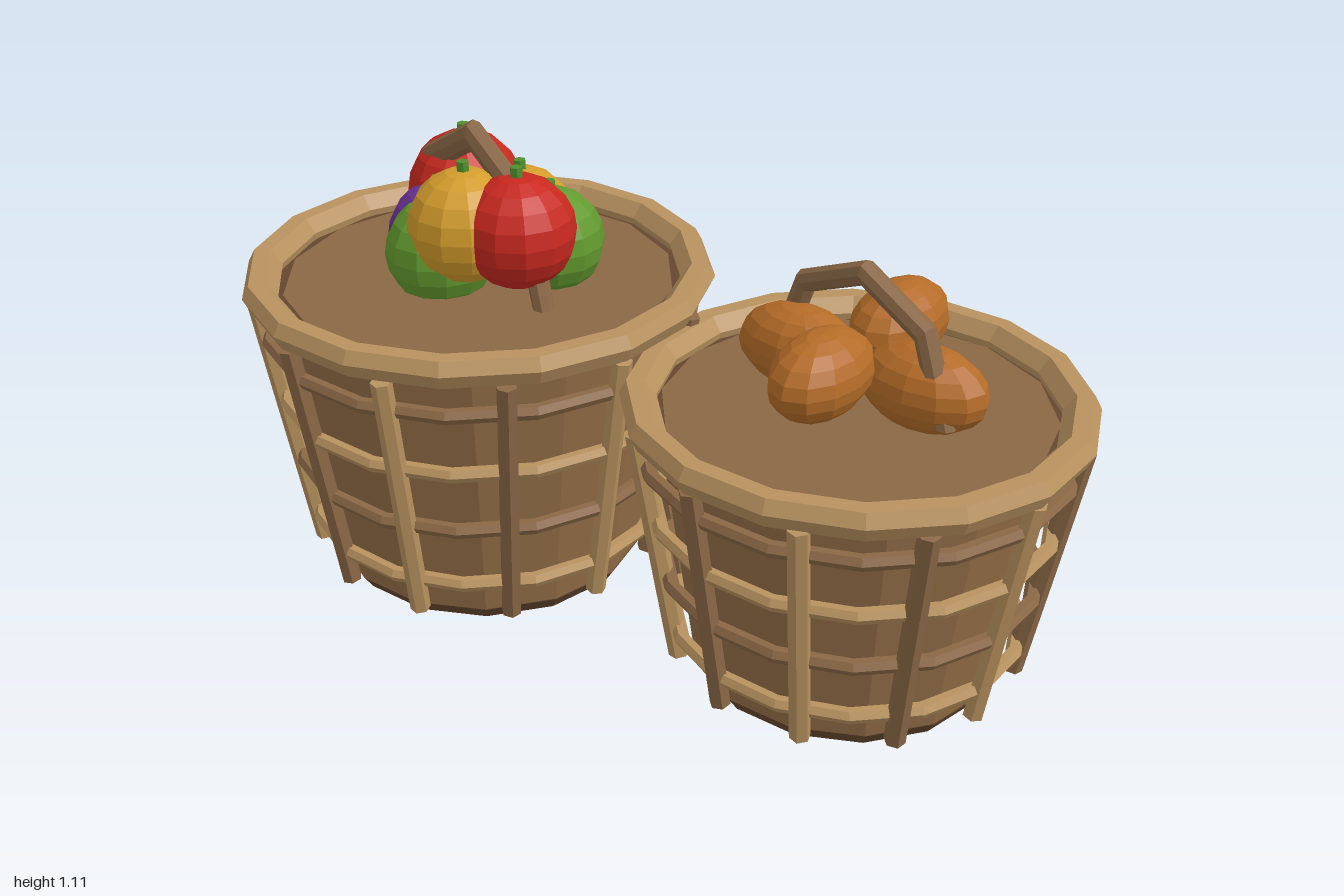
import * as THREE from 'three';

const mat = (name, color) => {
  const m = new THREE.MeshStandardMaterial({ color, flatShading: true });
  m.name = name;
  return m;
};

export function createModel() {
  const tan = mat('tan wood', 0xb8925f);
  const brown = mat('brown wood', 0x8b6846);
  const wall = mat('wall wood', 0x926d46);
  const dark = mat('dark wood', 0x65472f);
  const red = mat('red fruit', 0xc8281f);
  const yellow = mat('yellow fruit', 0xd39c2c);
  const green = mat('green fruit', 0x629a2e);
  const purple = mat('purple fruit', 0x6a3296);
  const tuber = mat('tuber skin', 0xb56c28);
  const leaf = mat('stem green', 0x4f8f2f);

  const model = new THREE.Group();
  model.name = 'produceBaskets';

  const add = (parent, name, geometry, material, x = 0, y = 0, z = 0) => {
    const mesh = new THREE.Mesh(geometry, material);
    mesh.name = name;
    mesh.position.set(x, y, z);
    parent.add(mesh);
    return mesh;
  };

  // Basket of rim radius r and height h
  function basket(name, x, z, r, h) {
    const g = new THREE.Group();
    g.name = name;
    g.position.set(x, 0, z);
    model.add(g);

    // Tapered tub, dark foot, recessed dark lining and lid
    const top = h - 0.07, r0 = r * 0.685, r1 = r * 0.85;
    add(g, 'wall', new THREE.CylinderGeometry(r1, r0, top - 0.03, 14), wall, 0, (top + 0.03) / 2);
    add(g, 'foot', new THREE.CylinderGeometry(r * 0.692, r * 0.65, 0.035, 14), dark, 0, 0.0175);
    add(g, 'lining', new THREE.CylinderGeometry(r * 0.875, r1, 0.02, 14), dark, 0, top + 0.01);
    add(g, 'lid', new THREE.CylinderGeometry(r * 0.83, r * 0.83, 0.02, 14), brown, 0, top + 0.015);

    // Bevelled rim
    const rim = [[-0.075, -0.065], [-0.017, -0.065], [0, -0.03], [-0.016, 0],
      [-0.055, 0], [-0.082, -0.033], [-0.075, -0.065]]
      .map(([dx, dy]) => new THREE.Vector2(r + dx, h + dy));
    add(g, 'rim', new THREE.LatheGeometry(rim, 16), tan);

    // Leaning slats, alternating in colour
    const y0 = h * 0.065, y1 = h * 0.91, s0 = r * 0.75, s1 = r * 0.94;
    const lean = Math.atan2(s1 - s0, y1 - y0);
    const slat = new THREE.CylinderGeometry(0.024, 0.024, Math.hypot(s1 - s0, y1 - y0), 6);
    for (let i = 0; i < 12; i++) {
      const a = i * Math.PI / 6, s = (s0 + s1) / 2;
      const m = add(g, 'slat', slat, i % 2 ? tan : brown,
        Math.sin(a) * s, (y0 + y1) / 2, Math.cos(a) * s);
      m.rotation.set(lean, a, 0, 'YXZ');
    }

    // Horizontal hoops
    for (let i = 0; i < 4; i++) {
      const y = h * (0.175 + 0.21 * i);
      const s = s0 + (s1 - s0) * (y - y0) / (y1 - y0) - 0.005;
      const hoop = new THREE.TorusGeometry(s, 0.018, 6, 16);
      add(g, 'hoop', hoop, i % 2 ? brown : tan, 0, y).rotation.x = Math.PI / 2;
    }
    return g;
  }

  function handle(g, radius, y, stretch) {
    const arch = new THREE.TorusGeometry(radius, 0.026, 8, 4, Math.PI);
    add(g, 'handle', arch, brown, 0, y).scale.y = stretch;
  }

  const fruitBasket = basket('fruitBasket', -0.445, 0.138, 0.556, 0.775);
  handle(fruitBasket, 0.245, 0.73, 1.42);
  const tuberBasket = basket('tuberBasket', 0.48, -0.185, 0.516, 0.688);
  handle(tuberBasket, 0.24, 0.695, 1.1);

  // Heap of round fruit: colour, x, y, z, radius
  [
    [red, -0.585, 0.895, 0.07, 0.137],
    [red, -0.283, 0.895, 0.14, 0.134],
    [yellow, -0.39, 0.895, 0.21, 0.134],
    [yellow, -0.48, 0.82, -0.015, 0.13],
    [green, -0.335, 0.82, 0.01, 0.128],
    [green, -0.47, 0.81, 0.228, 0.13],
    [purple, -0.545, 0.815, 0.175, 0.125],
  ].forEach(([m, x, y, z, r]) => {
    add(model, 'fruit', new THREE.SphereGeometry(r, 12, 10), m, x, y, z);
    add(model, 'fruitStem', new THREE.CylinderGeometry(0.015, 0.015, 0.04, 6), leaf, x, y + r, z);
  });

  // Four long tubers laid in a cross
  for (let i = 0; i < 4; i++) {
    const a = 0.2 + i * Math.PI / 2;
    const m = add(tuberBasket, 'tuber', new THREE.SphereGeometry(0.094, 12, 10), tuber,
      Math.cos(a) * 0.155, i % 2 ? 0.787 : 0.742, -Math.sin(a) * 0.155);
    m.scale.x = 1.57;
    m.rotation.y = a;
  }
  return model;
}
